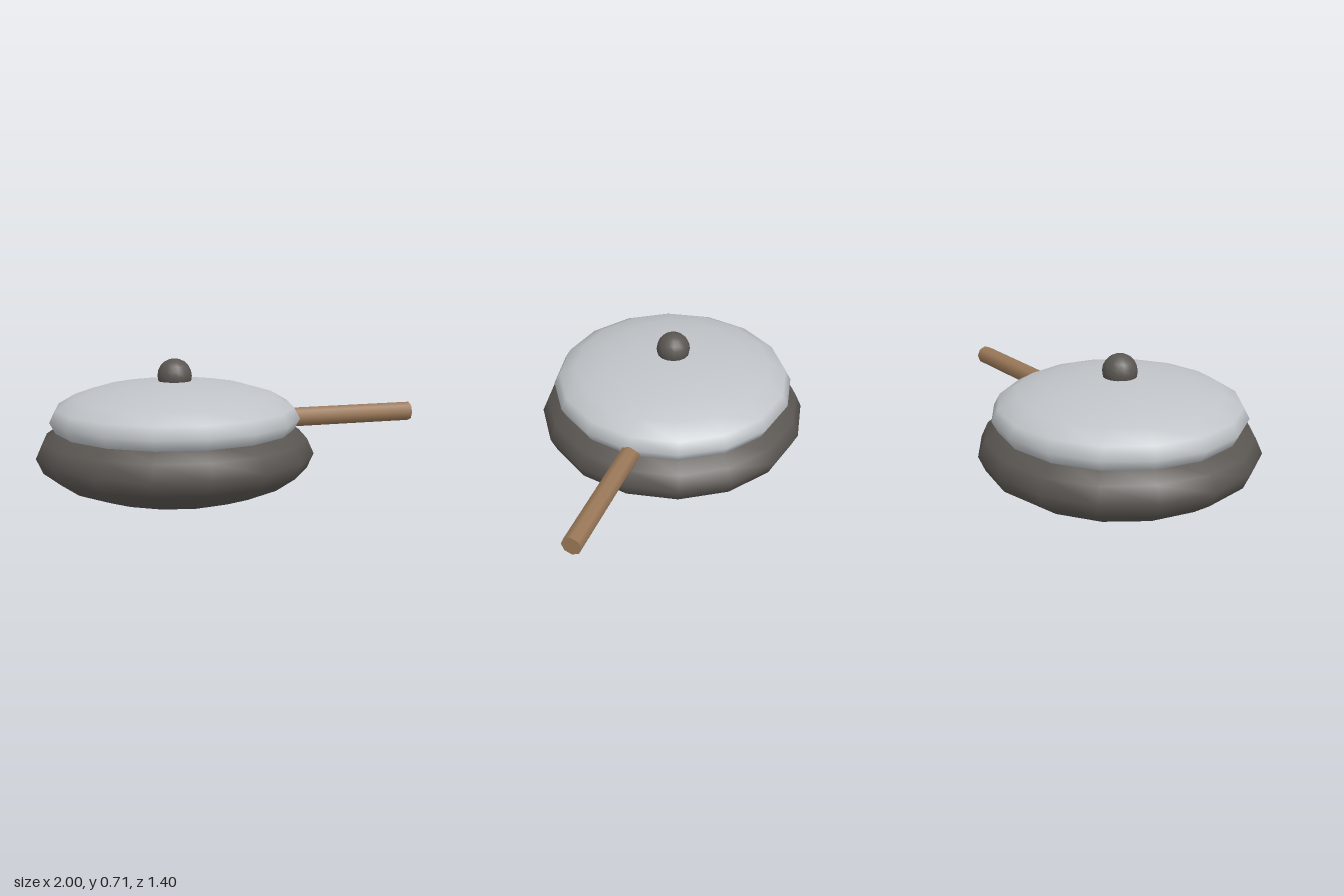
import * as THREE from 'three';

const material = (name, color) => {
  const m = new THREE.MeshStandardMaterial({ color });
  m.name = name;
  return m;
};

export function createModel() {
  const iron = material('dark iron', 0x5a5652);
  const steel = material('pale steel', 0xc0c4c8);
  const wood = material('wood', 0x9a7858);

  const group = new THREE.Group();
  group.name = 'lidded pan';
  const panX = -0.3;

  // Flattened spheres stacked on the pan's axis
  const addSpheroid = (name, mat, radius, halfHeight, y) => {
    const geometry = new THREE.SphereGeometry(1, 16, 10);
    geometry.scale(radius, halfHeight, radius);
    const mesh = new THREE.Mesh(geometry, mat);
    mesh.name = name;
    mesh.position.set(panX, y, 0);
    group.add(mesh);
  };
  addSpheroid('panBody', iron, 0.7, 0.245, 0.25);
  addSpheroid('lid', steel, 0.63, 0.187, 0.425);
  addSpheroid('lidKnob', iron, 0.087, 0.087, 0.633);

  // Eight-sided handle reaching out to the left
  const handle = new THREE.Mesh(new THREE.CylinderGeometry(0.05, 0.05, 0.7, 8), wood);
  handle.name = 'handle';
  handle.rotation.z = Math.PI / 2;
  handle.position.set(0.65, 0.39, 0);
  group.add(handle);

  return group;
}
